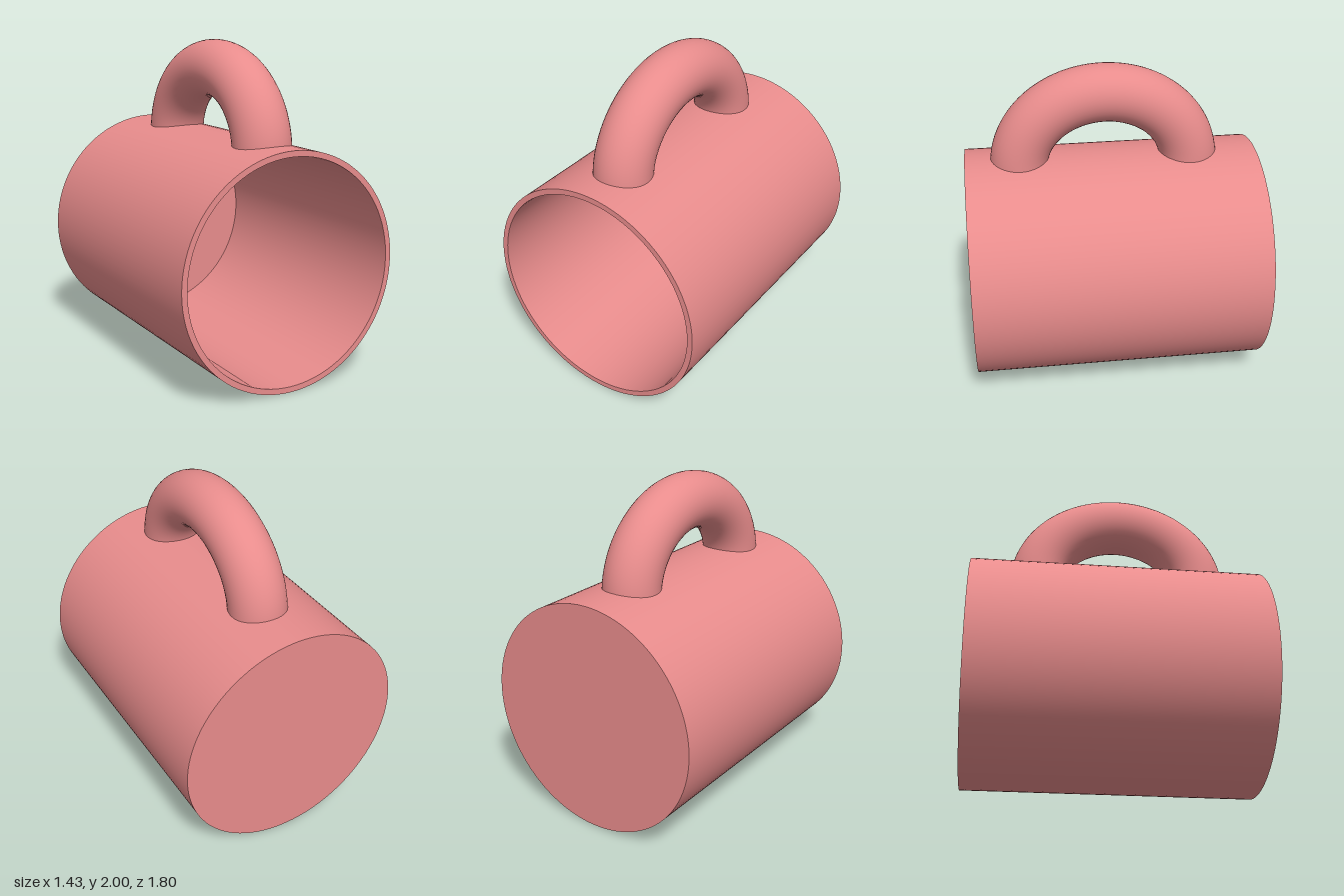
import * as THREE from 'three';
import { toCreasedNormals } from 'three/addons/utils/BufferGeometryUtils.js';

// Half-ellipse in the y-z plane, running from the front foot to the back foot
class HandleCurve extends THREE.Curve {
  getPoint(t, target = new THREE.Vector3()) {
    const a = Math.PI * t;
    return target.set(0, 1.37 + 0.455 * Math.sin(a), 0.043 + 0.525 * Math.cos(a));
  }
}

export function createModel() {
  const model = new THREE.Group();
  model.name = 'mug';
  const material = new THREE.MeshStandardMaterial({ color: 0xe88c8c });
  const add = (name, geometry, parent = model) => {
    const mesh = new THREE.Mesh(geometry, material);
    mesh.name = name;
    parent.add(mesh);
    return mesh;
  };

  // Hollow cup lying on its side: base, outer wall, rim, inner wall, floor
  const R = 0.715, inner = 0.68;
  const profile = [
    [0, -0.9], [R, -0.9], [R, 0.9], [inner, 0.9], [inner, -0.83], [0, -0.83],
  ].map(([x, y]) => new THREE.Vector2(x, y));
  const cup = add('cup', toCreasedNormals(new THREE.LatheGeometry(profile, 96), 0.6));
  cup.rotation.x = Math.PI / 2; // opening faces the front
  cup.position.y = R;

  // Arched handle, with flat ends that just reach the inside of the cup
  const handle = new THREE.Group();
  handle.name = 'handle';
  model.add(handle);
  const radius = 0.177;
  add('handleArch', new THREE.TubeGeometry(new HandleCurve(), 64, radius, 40), handle);
  for (const side of [1, -1]) {
    const end = add('handleEnd', new THREE.CircleGeometry(radius, 40), handle);
    end.rotation.x = Math.PI / 2; // faces down
    end.position.set(0, 1.37, 0.043 + side * 0.525);
  }

  return model;
}
